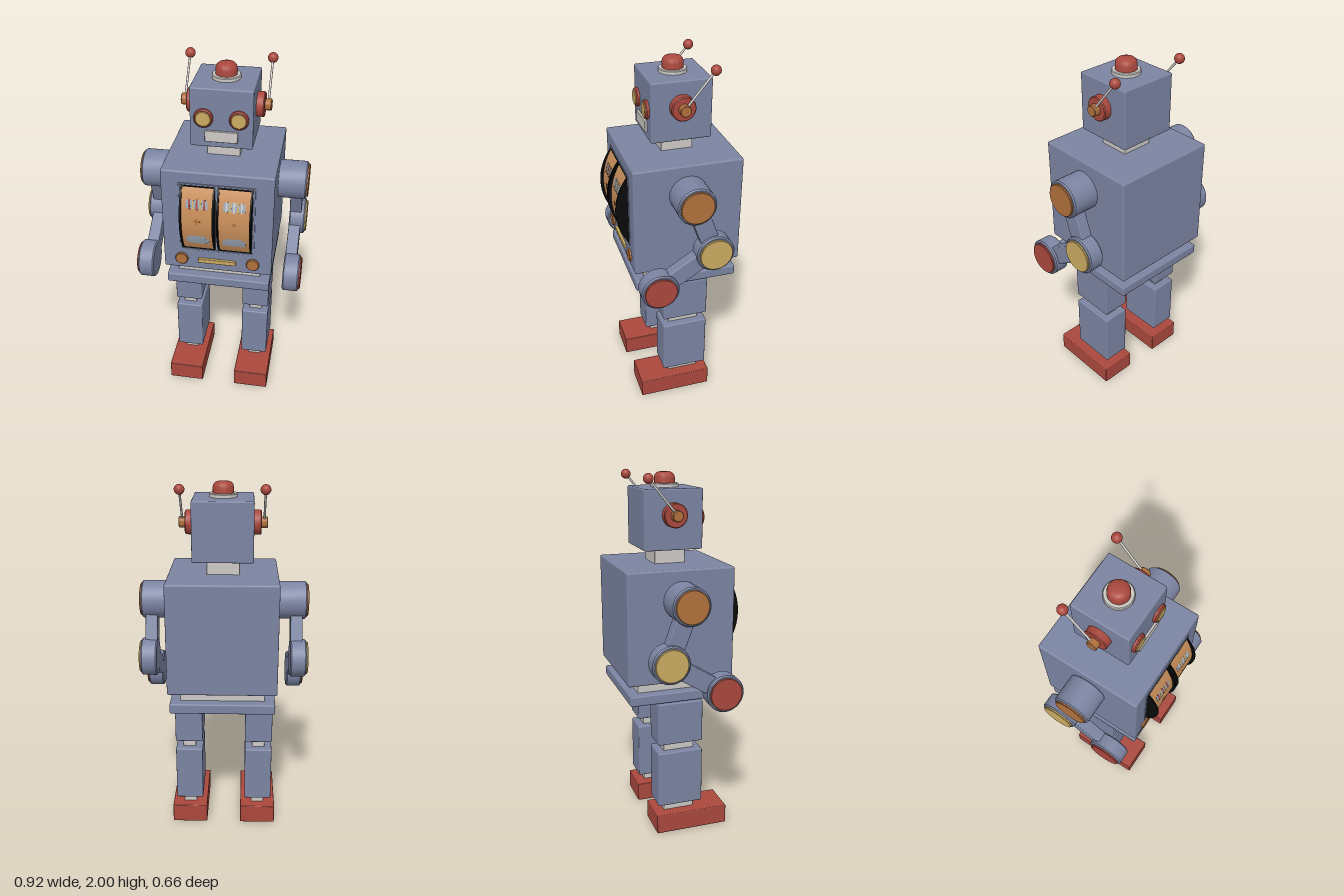
import * as THREE from 'three';
import { RoundedBoxGeometry } from 'three/addons/geometries/RoundedBoxGeometry.js';
import { toCreasedNormals } from 'three/addons/utils/BufferGeometryUtils.js';

const paint = (name, color) => Object.assign(new THREE.MeshStandardMaterial({ color }), { name });

export function createModel() {
  const robot = new THREE.Group();
  robot.name = 'toyRobot';
  const blue = paint('blueGrey', 0x7b84a2);
  const red = paint('red', 0xaa483d);
  const orange = paint('orange', 0xb0713c);
  const yellow = paint('yellow', 0xcbab62);
  const light = paint('lightGrey', 0xccc9c5);
  const black = paint('black', 0x0a0a0a);
  const tan = paint('tan', 0xc98f5a);
  const pale = paint('paleBlue', 0x9ba6b4);

  const add = (name, geometry, material, x = 0, y = 0, z = 0) => {
    const mesh = new THREE.Mesh(geometry, material);
    mesh.name = name;
    mesh.position.set(x, y, z);
    robot.add(mesh);
    return mesh;
  };

  // Softly bevelled box given by its extents
  const box = (name, material, x0, x1, y0, y1, z0, z1, r = 0.008) =>
    add(name, new RoundedBoxGeometry(x1 - x0, y1 - y0, z1 - z0, 2, r), material,
      (x0 + x1) / 2, (y0 + y1) / 2, (z0 + z1) / 2);

  // Bevelled disc rising from 0 to h along y, turned to face 'x', 'z' or 'y'
  const disc = (r, h, bevel, axis, side = 1) => {
    const p = [[0, 0], [r - bevel, 0], [r, bevel], [r, h - bevel], [r - bevel, h], [0, h]];
    const g = toCreasedNormals(
      new THREE.LatheGeometry(p.map(([a, b]) => new THREE.Vector2(a, b)), 40), 0.6);
    if (axis === 'x') g.rotateZ(-side * Math.PI / 2);
    if (axis === 'z') g.rotateX(Math.PI / 2);
    return g;
  };

  // Head, neck and torso
  const cx = 0.005, headZ = -0.035;
  box('head', blue, -0.158, 0.167, 1.6, 1.92, -0.198, 0.127);
  box('neck', light, -0.085, 0.092, 1.5, 1.61, -0.12, 0.053, 0.004);
  box('torso', blue, -0.294, 0.302, 0.905, 1.52, -0.333, 0.262, 0.01);
  box('waist', light, -0.23, 0.236, 0.83, 0.92, -0.265, 0.2, 0.004);
  box('pelvis', blue, -0.285, 0.292, 0.788, 0.845, -0.32, 0.255);

  // Face
  box('mouth', light, -0.08, 0.09, 1.635, 1.695, 0.11, 0.139, 0.003);
  for (const s of [-1, 1]) {
    const x = cx + s * 0.091;
    add('eyeRim', disc(0.05, 0.035, 0.006, 'z'), red, x, 1.763, 0.11);
    add('eyeLens', disc(0.04, 0.01, 0.003, 'z'), yellow, x, 1.763, 0.139);
  }

  // Lamp on top of the head
  add('lampRing', disc(0.075, 0.025, 0.004, 'y'), light, cx, 1.915, headZ);
  const dome = [[0, 0], [0.056, 0], [0.056, 0.035], [0.052, 0.05], [0.042, 0.06], [0.026, 0.065], [0, 0.066]];
  add('lamp', toCreasedNormals(
    new THREE.LatheGeometry(dome.map(([a, b]) => new THREE.Vector2(a, b)), 36), 0.7),
  red, cx, 1.934, headZ);

  // Ears with antennas leaning back
  for (const s of [-1, 1]) {
    add('ear', disc(0.065, 0.06, 0.005, 'x', s), red, cx + s * 0.143, 1.785, headZ);
    add('earKnob', disc(0.03, 0.05, 0.004, 'x', s), orange, cx + s * 0.187, 1.785, headZ);
    const x = cx + s * 0.218;
    const path = new THREE.LineCurve3(new THREE.Vector3(x, 1.79, headZ), new THREE.Vector3(x, 1.977, -0.19));
    add('antennaRod', new THREE.TubeGeometry(path, 1, 0.006, 12), light);
    add('antennaBall', new THREE.SphereGeometry(0.027, 24, 16), red, x, 1.977, -0.19);
  }

  // Curved wedge of a drum lying along x, between two elevation angles
  const wedge = (name, material, x0, x1, r, z, a0, a1) =>
    add(name, new THREE.CylinderGeometry(r, r, x1 - x0, 24, 1, false, a0, a1 - a0).rotateZ(Math.PI / 2),
      material, (x0 + x1) / 2, 1.244, z);

  // Two display reels with dark side walls and thin curved markings
  for (const s of [-1, 1]) {
    const x = 0.003 + s * 0.0985;
    box('reelBacking', black, x - 0.091, x + 0.091, 1.044, 1.444, 0.25, 0.2645, 0.002);
    wedge('reel', tan, x - 0.084, x + 0.084, 0.393, -0.078, -0.505, 0.505);
    for (const t of [-1, 1]) {
      const w = x + t * 0.0865;
      wedge('reelWall', black, w - 0.0045, w + 0.0045, 0.325, 0.007, -0.66, 0.66);
    }
    const mark = (name, m, dx, w, y, h, r = 0.3945) =>
      wedge(name, m, x + dx - w / 2, x + dx + w / 2, r, -0.078,
        Math.asin((y - h / 2 - 1.244) / r), Math.asin((y + h / 2 - 1.244) / r));
    mark('upperMark', pale, 0, 0.115, 1.352, 0.045);
    for (let i = -2; i <= 2; i++)
      mark('upperBar', i % 2 ? yellow : (s < 0 ? red : light), i * 0.02, 0.009, 1.352, 0.058, 0.3955);
    mark('centreMark', orange, 0, s < 0 ? 0.035 : 0.022, 1.255, 0.012);
    mark('centreMark', orange, 0, 0.012, 1.255, s < 0 ? 0.035 : 0.022, 0.395);
    mark('lowerMark', pale, 0, 0.125, 1.125, 0.036);
    mark('lowerMark', pale, 0, 0.09, 1.13, 0.058, 0.395);
    add('chestButton', disc(0.036, 0.025, 0.004, 'z'), orange, 0.003 + s * 0.197, 0.972, 0.25);
  }
  // Slim raised frame around the reels
  box('reelFrameTop', blue, -0.2, 0.206, 1.444, 1.454, 0.255, 0.266, 0.002);
  box('reelFrameBottom', blue, -0.2, 0.206, 1.034, 1.044, 0.255, 0.266, 0.002);
  for (const s of [-1, 1])
    box('reelFrameSide', blue, 0.003 + s * 0.198 - 0.005, 0.003 + s * 0.198 + 0.005, 1.034, 1.454, 0.255, 0.266, 0.002);
  box('chestBar', yellow, -0.102, 0.108, 0.957, 0.983, 0.25, 0.277, 0.004);

  // Arms: three round joints with coloured caps, joined by flat links
  const joints = [
    { name: 'shoulder', y: 1.357, z: -0.034, x: 0.29, cap: orange },
    { name: 'elbow', y: 1.057, z: -0.143, x: 0.364, cap: yellow },
    { name: 'hand', y: 0.868, z: 0.16, x: 0.364, cap: red },
  ];
  for (const s of [-1, 1]) {
    for (const j of joints) {
      add(j.name, disc(0.104, 0.452 - j.x, 0.007, 'x', s), blue, s * j.x, j.y, j.z);
      add(j.name + 'Cap', disc(0.09, 0.02, 0.003, 'x', s), j.cap, s * 0.442, j.y, j.z);
    }
    for (let i = 0; i < 2; i++) {
      const a = joints[i], b = joints[i + 1];
      const dy = b.y - a.y, dz = b.z - a.z;
      const link = add(i ? 'forearm' : 'upperArm',
        new RoundedBoxGeometry(0.066, Math.hypot(dy, dz), 0.1, 2, 0.006), blue,
        s * 0.398, (a.y + b.y) / 2, (a.z + b.z) / 2);
      link.rotation.x = Math.atan2(dz, dy);
    }
  }

  // Legs
  for (const s of [-1, 1]) {
    const part = (name, m, half, y0, y1, z0, z1, r) =>
      box(name, m, s * 0.201 - half, s * 0.201 + half, y0, y1, z0, z1, r);
    part('hip', light, 0.037, 0.77, 0.8, -0.122, 0.055, 0.003);
    part('thigh', blue, 0.078, 0.535, 0.78, -0.164, 0.095);
    part('knee', light, 0.037, 0.475, 0.545, -0.122, 0.055, 0.003);
    part('shin', blue, 0.078, 0.158, 0.485, -0.164, 0.095);
    part('ankle', light, 0.037, 0.1, 0.17, -0.122, 0.055, 0.003);
    part('foot', red, 0.102, 0, 0.11, -0.18, 0.238, 0.005);
  }
  return robot;
}
